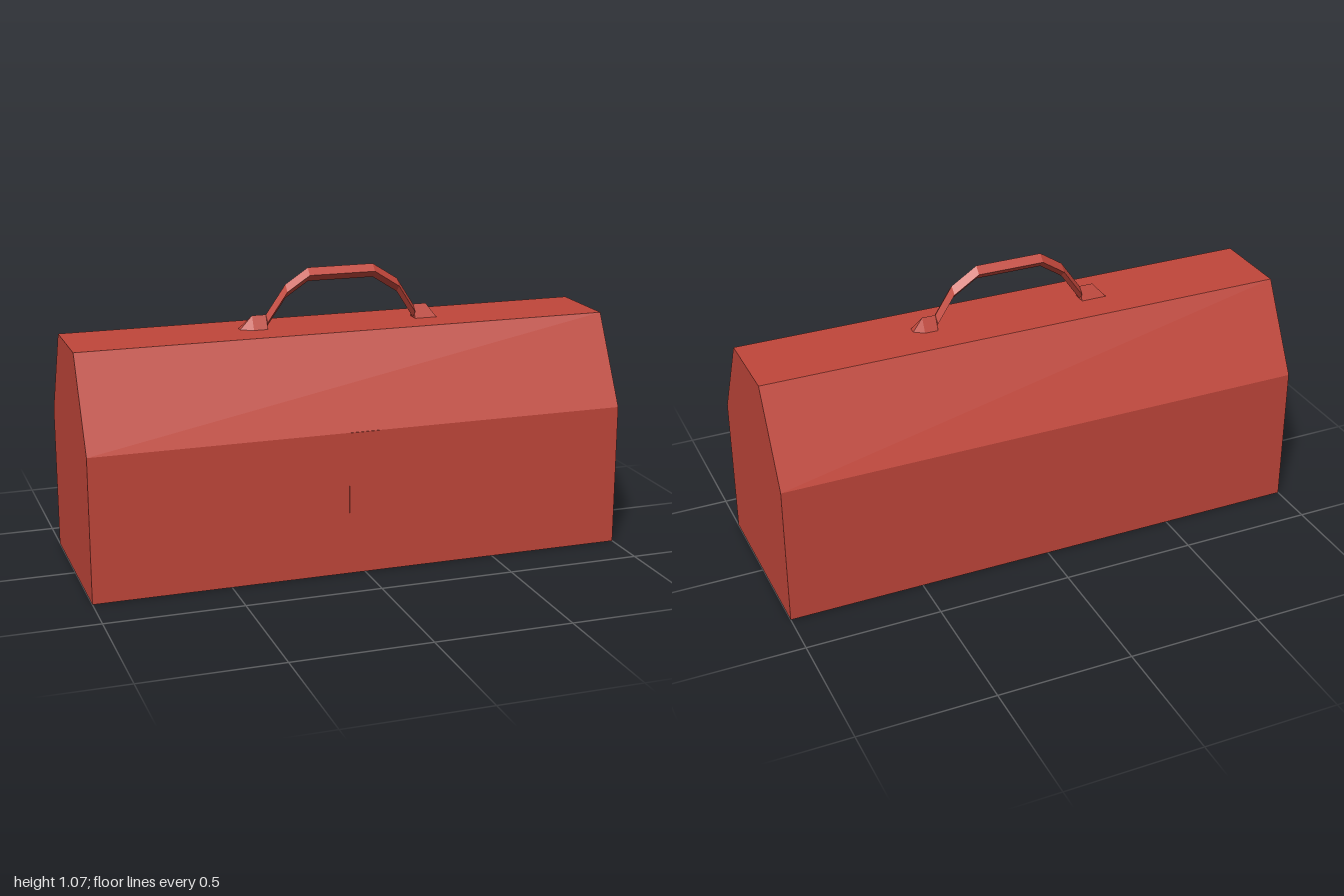
import * as THREE from 'three';

const Z0 = -0.003; // depth centre of the box
const TOP = 0.855; // height of the flat lid top

// Loft through four-point sections { x, top, mid, low, w }, listed from -x to +x
function loft(sections) {
  const rings = sections.map(({ x, top, mid, low, w }) => [
    [x, top, Z0], [x, mid, Z0 + w], [x, low, Z0], [x, mid, Z0 - w],
  ]);
  const pos = [];
  const quad = (a, b, c, d) => pos.push(...a, ...b, ...c, ...a, ...c, ...d);
  for (let i = 0; i < rings.length - 1; i++) {
    for (let j = 0; j < 4; j++) {
      const k = (j + 1) % 4;
      quad(rings[i][j], rings[i][k], rings[i + 1][k], rings[i + 1][j]);
    }
  }
  const s = rings[0], e = rings[rings.length - 1];
  quad(s[3], s[2], s[1], s[0]);
  quad(e[0], e[1], e[2], e[3]);
  const g = new THREE.BufferGeometry();
  g.setAttribute('position', new THREE.Float32BufferAttribute(pos, 3));
  g.computeVertexNormals();
  return g;
}

export function createModel() {
  const group = new THREE.Group();
  const red = new THREE.MeshStandardMaterial({ color: 0xc0463a });
  red.name = 'red paint';
  const add = (name, geometry) => {
    const mesh = new THREE.Mesh(geometry, red);
    mesh.name = name;
    group.add(mesh);
  };

  // Box with sloping lid: one end profile drawn out along x
  const profile = new THREE.Shape([
    [-0.325, 0], [0.325, 0], [0.325, 0.53], [0.15, TOP], [-0.15, TOP], [-0.325, 0.53],
  ].map(([x, y]) => new THREE.Vector2(x, y)));
  const body = new THREE.ExtrudeGeometry(profile, { depth: 2, bevelEnabled: false });
  body.rotateY(Math.PI / 2).translate(-1, 0, Z0);
  add('body', body);

  // Thin latch plate on the front wall
  const latch = new THREE.BoxGeometry(0.12, 0.3, 0.006);
  latch.translate(0, 0.38, 0.322);
  add('latchPlate', latch);

  // Arched handle with a diamond section
  const arch = [[-0.27, 0.905], [-0.195, 1.012], [-0.11, 1.068], [0.14, 1.068], [0.235, 1.007], [0.3, 0.905]];
  add('handle', loft(arch.map(([x, y]) => ({ x, top: y, mid: y - 0.025, low: y - 0.05, w: 0.025 }))));

  // Wedge-shaped handle feet
  const foot = (points) => loft(points.map(([x, top]) => ({ x, top, mid: TOP, low: TOP, w: 0.025 })));
  add('rightHandleFoot', foot([[-0.367, TOP], [-0.322, 0.905], [-0.27, 0.905]]));
  add('leftHandleFoot', foot([[0.3, 0.905], [0.35, 0.905], [0.385, TOP]]));

  return group;
}
